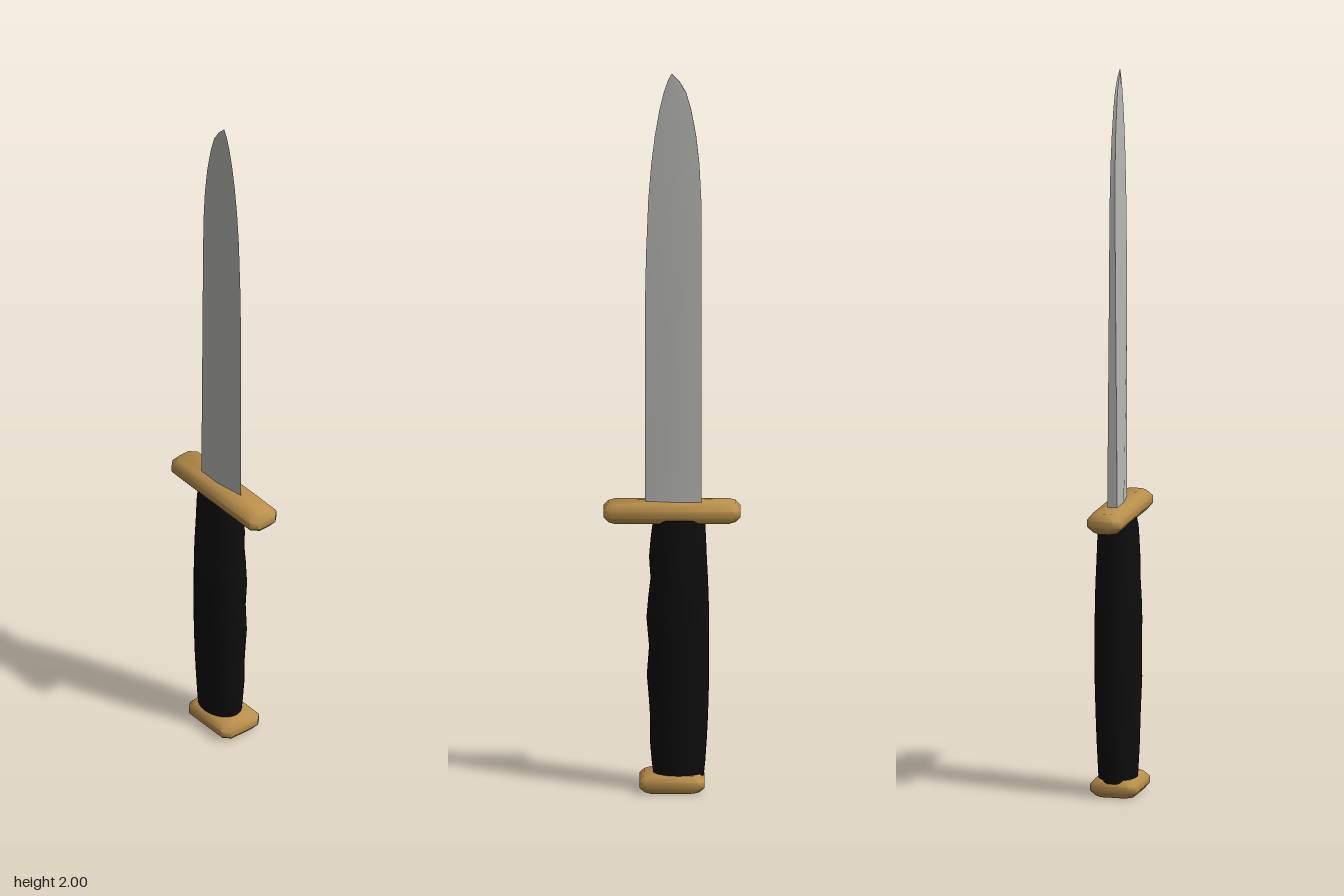
import * as THREE from 'three';
import { toCreasedNormals } from 'three/addons/utils/BufferGeometryUtils.js';

const steel = new THREE.MeshStandardMaterial({ color: 0xb9b9b7 });
steel.name = 'steel';
const brass = new THREE.MeshStandardMaterial({ color: 0xb98f4b });
brass.name = 'brass';
const black = new THREE.MeshStandardMaterial({ color: 0x0d0d0d });
black.name = 'black grip';

// Skin a stack of rings (bottom to top, each running from +x towards +z) and cap both ends
function loft(rings, crease) {
  const n = rings[0].length, top = rings.length - 1;
  const pos = rings.flat(2), index = [];
  const centre = ring => [0, 1, 2].map(k => ring.reduce((s, p) => s + p[k], 0) / n);
  pos.push(...centre(rings[0]), ...centre(rings[top]));
  const c0 = rings.length * n, c1 = c0 + 1;
  for (let j = 0; j < n; j++) {
    const k = (j + 1) % n;
    for (let i = 0; i < top; i++) {
      const a = i * n + j, b = i * n + k;
      index.push(a, a + n, b, b, a + n, b + n);
    }
    index.push(c0, j, k, c1, top * n + k, top * n + j);
  }
  const g = new THREE.BufferGeometry();
  g.setAttribute('position', new THREE.Float32BufferAttribute(pos, 3));
  g.setIndex(index);
  return toCreasedNormals(g, crease);
}

function addPart(group, name, geometry, material) {
  const mesh = new THREE.Mesh(geometry, material);
  mesh.name = name;
  group.add(mesh);
}

// Plate with cut corners in plan and bevelled upper and lower edges
function plate(hx, hz, y0, y1, cut, bevel) {
  const h = y1 - y0;
  const rows = [[0, bevel], [0.32, 0], [0.68, 0], [1, bevel]];
  return loft(rows.map(([t, inset]) => {
    const x = hx - inset, z = hz - inset, y = y0 + h * t;
    return [
      [x, y, z - cut], [x - cut, y, z], [cut - x, y, z], [-x, y, z - cut],
      [-x, y, cut - z], [cut - x, y, -z], [x - cut, y, -z], [x, y, cut - z],
    ];
  }), 1.0);
}

export function createModel() {
  const group = new THREE.Group();
  group.name = 'dagger';

  // Blade: flat spine at -x, cutting edge at +x; rows are height, spine x, edge x, half thickness
  const bladeRows = [
    [0.79, -0.08, 0.073, 0.014], [1.36, -0.08, 0.073, 0.0095], [1.5, -0.08, 0.07, 0.0085],
    [1.65, -0.079, 0.064, 0.0075], [1.75, -0.074, 0.056, 0.0065], [1.83, -0.065, 0.046, 0.0055],
    [1.9, -0.052, 0.034, 0.0045], [1.95, -0.038, 0.022, 0.0035], [1.98, -0.02, 0.012, 0.0025],
    [2.0, -0.001, 0.002, 0.001],
  ];
  addPart(group, 'blade', loft(bladeRows.map(([y, back, edge, t]) => {
    const mid = back + (edge - back) * 0.45;
    return [[edge, y, 0], [mid, y, t], [back, y, t], [back, y, -t], [mid, y, -t]];
  }), 0.6), steel);

  // Crossguard and pommel
  addPart(group, 'guard', plate(0.185, 0.047, 0.75, 0.805, 0.018, 0.014), brass);
  addPart(group, 'pommel', plate(0.088, 0.065, 0, 0.049, 0.018, 0.013), brass);

  // Grip: oval section with finger swells on the edge side; rows are height, back x, front x, half depth
  const gripRows = [
    [0.04, -0.086, 0.05, 0.052], [0.08, -0.09, 0.055, 0.054], [0.14, -0.094, 0.06, 0.057],
    [0.2, -0.097, 0.059, 0.059], [0.26, -0.099, 0.063, 0.061], [0.32, -0.1, 0.068, 0.063],
    [0.4, -0.1, 0.062, 0.063], [0.48, -0.1, 0.069, 0.063], [0.54, -0.099, 0.064, 0.062],
    [0.59, -0.097, 0.058, 0.06], [0.65, -0.094, 0.062, 0.058], [0.7, -0.092, 0.058, 0.056],
    [0.74, -0.09, 0.053, 0.054], [0.76, -0.086, 0.048, 0.05],
  ];
  const sides = 28;
  addPart(group, 'grip', loft(gripRows.map(([y, back, front, depth]) =>
    Array.from({ length: sides }, (_, i) => {
      const a = (i / sides) * Math.PI * 2;
      return [(front + back) / 2 + Math.cos(a) * (front - back) / 2, y, Math.sin(a) * depth];
    })), 0.9), black);

  return group;
}
